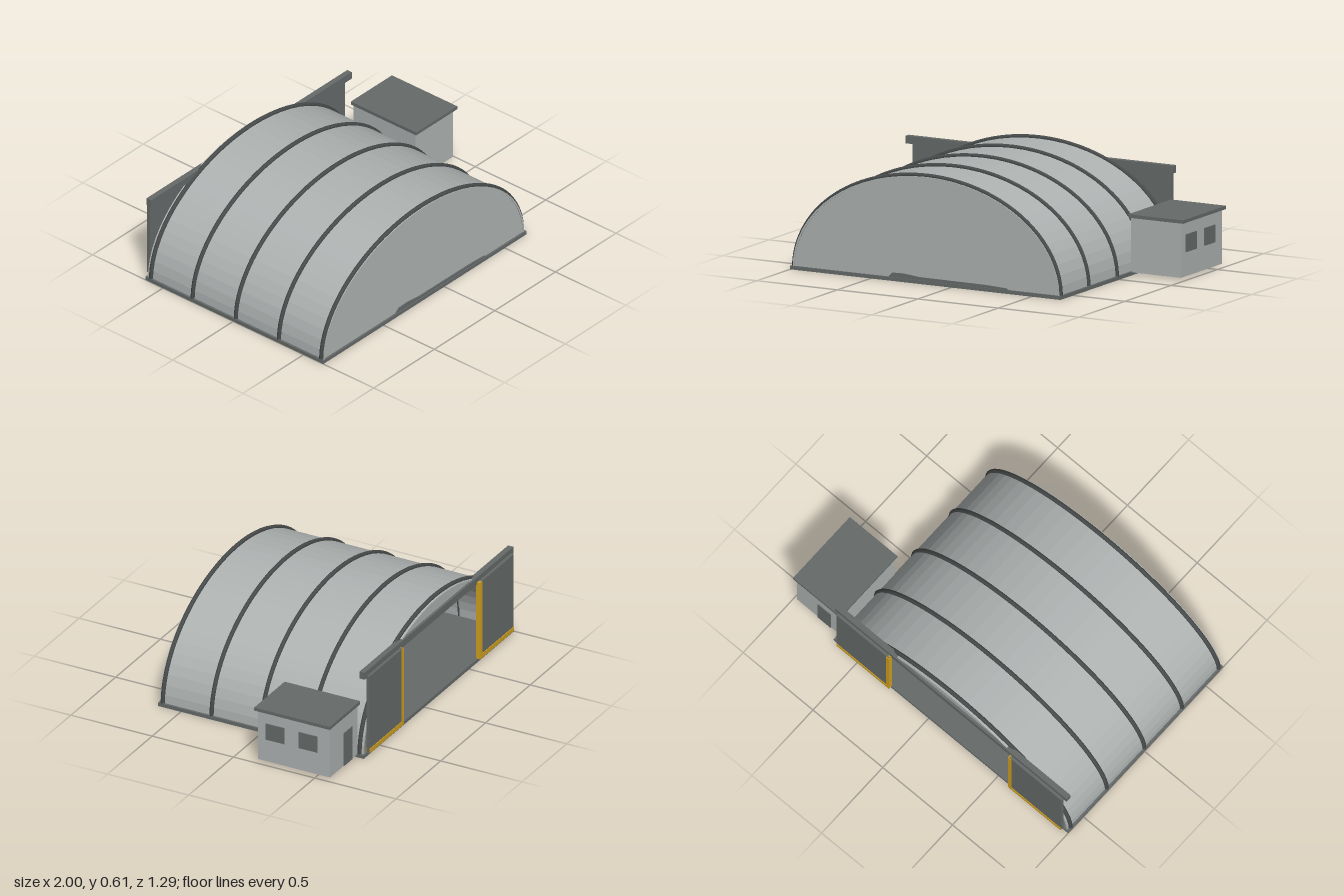
import * as THREE from 'three';

const paint = (name, color) => {
  const m = new THREE.MeshStandardMaterial({ color });
  m.name = name;
  return m;
};

export function createModel() {
  const light = paint('light cladding', 0xaeb3b2);
  const mid = paint('grey steel', 0x666b6a);
  const dark = paint('dark steel', 0x494c4c);
  const yellow = paint('yellow trim', 0xd0a020);

  const model = new THREE.Group();
  model.name = 'hangar';
  const CX = -0.16, FLOOR = 0.012, SEG = 32;

  const add = (name, geometry, material, parent = model) => {
    const mesh = new THREE.Mesh(geometry, material);
    mesh.name = name;
    parent.add(mesh);
    return mesh;
  };
  // box given by its limits on each axis
  const box = (name, [x0, x1], [y0, y1], [z0, z1], material, parent) => {
    const mesh = add(name, new THREE.BoxGeometry(x1 - x0, y1 - y0, z1 - z0), material, parent);
    mesh.position.set((x0 + x1) / 2, (y0 + y1) / 2, (z0 + z1) / 2);
    return mesh;
  };
  // points along a half ellipse, +x to -x, between two angles
  const arch = (rx, ry, a0 = 0, a1 = Math.PI) =>
    Array.from({ length: SEG + 1 }, (_, i) => {
      const a = a0 + (a1 - a0) * i / SEG;
      return new THREE.Vector2(CX + rx * Math.cos(a), FLOOR + (ry - FLOOR) * Math.sin(a));
    });
  const slab = (name, points, z0, z1, material) => {
    const g = new THREE.ExtrudeGeometry(new THREE.Shape(points), { depth: z1 - z0, bevelEnabled: false });
    g.translate(0, 0, z0);
    return add(name, g, material);
  };

  // floor slab
  box('floorSlab', [-1, 0.68], [0, 0.02], [-0.625, 0.641], mid);

  // faceted vault, closed front wall and the gable above the door opening
  slab('vault', [...arch(0.828, 0.59), ...arch(0.818, 0.58).reverse()], -0.617, 0.634, light);
  slab('frontWall', arch(0.822, 0.584), 0.618, 0.63, light);
  const cut = Math.asin((0.49 - FLOOR) / (0.584 - FLOOR));
  slab('rearGable', arch(0.822, 0.584, cut, Math.PI - cut), -0.612, -0.602, light);

  // low dark patch at the foot of the front wall
  slab('frontPatch', [[-0.4, 0.015], [0.36, 0.015], [0.34, 0.028], [0.22, 0.034], [-0.2, 0.036],
    [-0.3, 0.046], [-0.37, 0.044]].map(p => new THREE.Vector2(...p)), 0.63, 0.636, mid);

  // arched ribs over the vault
  const ribCurve = new THREE.CatmullRomCurve3(arch(0.828, 0.594).map(p => new THREE.Vector3(p.x, p.y, 0)));
  const ribGeometry = new THREE.TubeGeometry(ribCurve, 64, 0.0125, 8, false);
  for (const z of [0.617, 0.317, 0.01, -0.297, -0.593]) {
    add('rib', ribGeometry, dark).position.z = z;
  }

  // door rail and the two sliding doors, trimmed along the inner and lower edges
  box('doorRail', [-0.99, 0.67], [0.478, 0.52], [-0.626, -0.594], mid);
  for (const side of [-1, 1]) {
    const door = new THREE.Group();
    door.name = side < 0 ? 'rightDoor' : 'leftDoor';
    model.add(door);
    const span = (a, b) => (side < 0 ? [CX - b, CX - a] : [CX + a, CX + b]);
    box('doorPanel', span(0.43, 0.805), [0.027, 0.49], [-0.642, -0.622], mid, door);
    box('innerTrim', span(0.426, 0.448), [0.025, 0.49], [-0.646, -0.619], yellow, door);
    box('lowerTrim', span(0.448, 0.803), [0.025, 0.05], [-0.646, -0.619], yellow, door);
  }

  // side office with flat roof, windows and rear door
  const office = new THREE.Group();
  office.name = 'sideOffice';
  model.add(office);
  box('officeWalls', [0.67, 0.98], [0.015, 0.318], [-0.583, -0.14], light, office);
  box('officeRoof', [0.66, 1], [0.316, 0.335], [-0.593, -0.128], mid, office);
  for (const z of [-0.247, -0.45]) {
    box('officeWindow', [0.978, 0.985], [0.148, 0.245], [z - 0.057, z + 0.057], mid, office);
  }
  box('officeDoor', [0.735, 0.83], [0.016, 0.215], [-0.588, -0.581], mid, office);

  return model;
}
